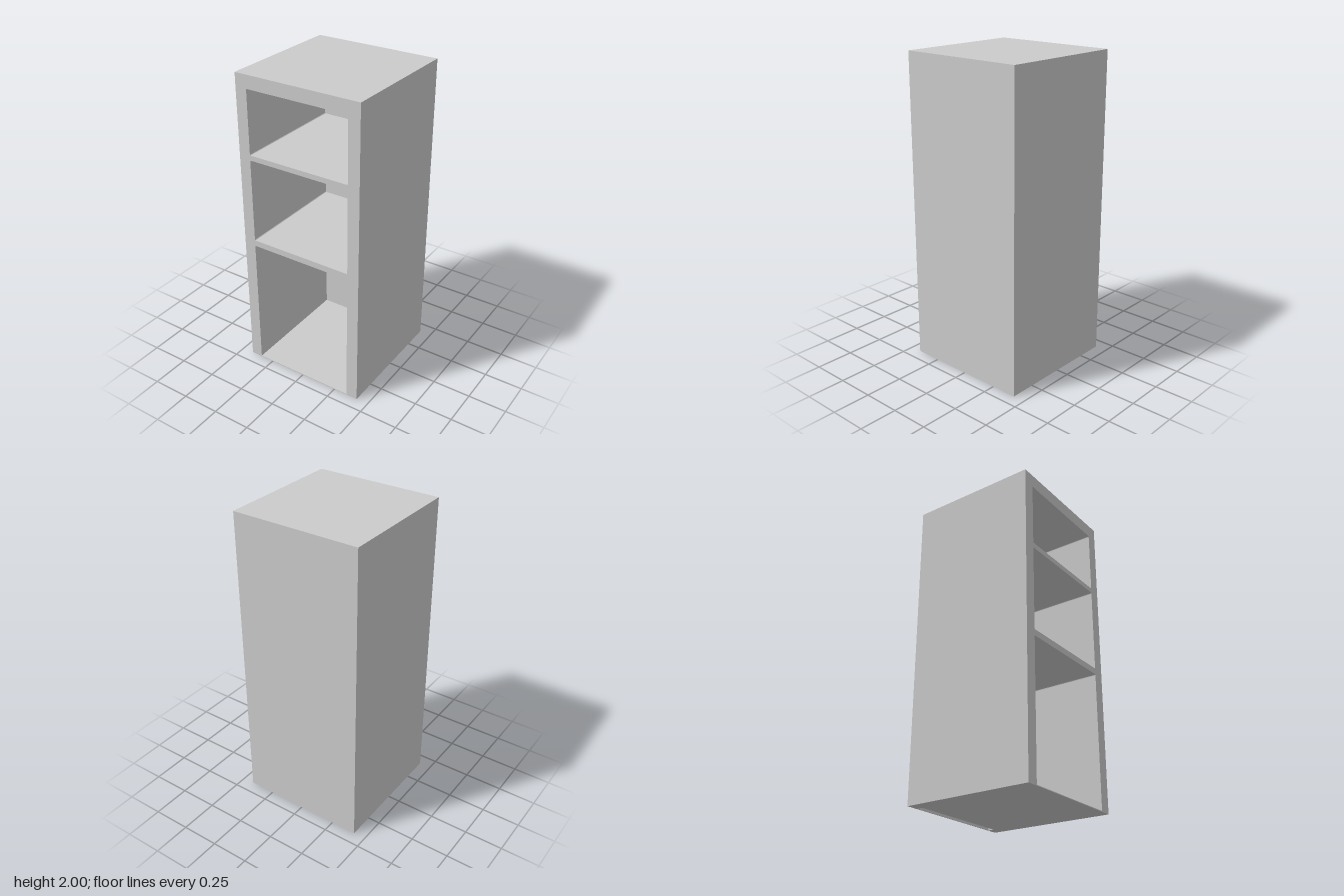
import * as THREE from 'three';

const HALF = 0.42;        // half of outer width and depth
const INNER = 0.343;      // half of opening width
const TOP = 1.915;        // underside of the top panel
const R = 0.008;          // small rounding in the opening corners
const SHEET = 0.005;      // thickness of the thin back sheet and floor
const BACK = -0.36;       // front face of the inner back panel

export function createModel() {
  const group = new THREE.Group();
  const material = new THREE.MeshStandardMaterial({ color: 0xcccccc, flatShading: true });

  const add = (name, geometry) => {
    const mesh = new THREE.Mesh(geometry, material);
    mesh.name = name;
    group.add(mesh);
  };
  // Extrude a front-view shape between two depths
  const extrude = (name, shape, z0, z1) => add(name,
    new THREE.ExtrudeGeometry(shape, { depth: z1 - z0, bevelEnabled: false, curveSegments: 3 }).translate(0, 0, z0));
  // Box given by its limits
  const box = (name, x, y0, y1, z0, z1) => add(name,
    new THREE.BoxGeometry(2 * x, y1 - y0, z1 - z0).translate(0, (y0 + y1) / 2, (z0 + z1) / 2));

  // Sides and top in one piece, open towards the floor
  const carcass = new THREE.Shape();
  carcass.moveTo(-HALF, 0);
  carcass.lineTo(-INNER, 0);
  carcass.lineTo(-INNER, TOP - R);
  carcass.quadraticCurveTo(-INNER, TOP, -INNER + R, TOP);
  carcass.lineTo(INNER - R, TOP);
  carcass.quadraticCurveTo(INNER, TOP, INNER, TOP - R);
  carcass.lineTo(INNER, 0);
  carcass.lineTo(HALF, 0);
  carcass.lineTo(HALF, 2);
  carcass.lineTo(-HALF, 2);
  carcass.closePath();
  extrude('carcass', carcass, -HALF + SHEET, HALF);

  // Shelves, flaring softly into the sides
  [[0.88, 0.92], [1.47, 1.503]].forEach(([y0, y1], i) => {
    const shelf = new THREE.Shape();
    shelf.moveTo(-INNER, y0 - R);
    shelf.quadraticCurveTo(-INNER, y0, -INNER + R, y0);
    shelf.lineTo(INNER - R, y0);
    shelf.quadraticCurveTo(INNER, y0, INNER, y0 - R);
    shelf.lineTo(INNER, y1 + R);
    shelf.quadraticCurveTo(INNER, y1, INNER - R, y1);
    shelf.lineTo(-INNER + R, y1);
    shelf.quadraticCurveTo(-INNER, y1, -INNER, y1 + R);
    shelf.closePath();
    extrude(i ? 'upperShelf' : 'lowerShelf', shelf, BACK, HALF);
  });

  // Thin floor, inner back panel, and outer back sheet with a gap left between them
  box('floor', INNER, 0, SHEET, BACK, HALF);
  box('innerBackPanel', INNER, 0, TOP, BACK - 0.015, BACK);
  box('backSheet', HALF, 0, 2, -HALF, -HALF + SHEET);

  return group;
}
